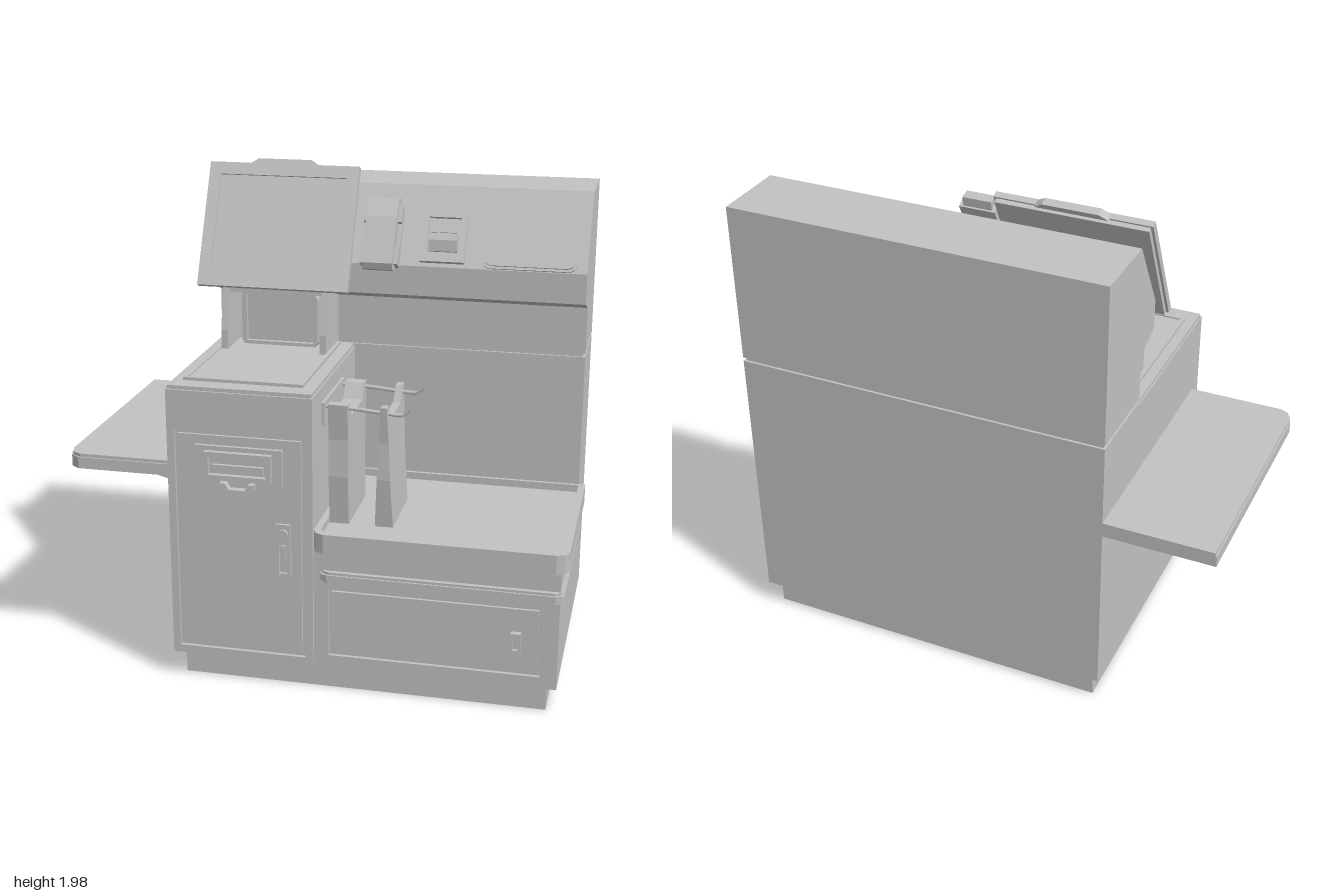
import * as THREE from 'three';

const grey = new THREE.MeshStandardMaterial({ color: 0xc2c2c2 });
grey.name = 'light grey';

export function createModel() {
  const root = new THREE.Group();
  root.name = 'selfServiceCheckout';

  const add = (name, geo, parent = root) => {
    const m = new THREE.Mesh(geo, grey);
    m.name = name;
    parent.add(m);
    return m;
  };
  const box = (name, x0, x1, y0, y1, z0, z1, parent) => {
    const g = new THREE.BoxGeometry(x1 - x0, y1 - y0, z1 - z0);
    g.translate((x0 + x1) / 2, (y0 + y1) / 2, (z0 + z1) / 2);
    return add(name, g, parent);
  };
  const poly = (pts) => new THREE.Shape(pts.map(([a, b]) => new THREE.Vector2(a, b)));
  const rect = (x0, x1, y0, y1, c = 0) => c === 0
    ? poly([[x0, y0], [x1, y0], [x1, y1], [x0, y1]])
    : poly([[x0 + c, y0], [x1 - c, y0], [x1 - c * 0.3, y0 + c * 0.3], [x1, y0 + c], [x1, y1 - c],
      [x1 - c * 0.3, y1 - c * 0.3], [x1 - c, y1], [x0 + c, y1], [x0 + c * 0.3, y1 - c * 0.3],
      [x0, y1 - c], [x0, y0 + c], [x0 + c * 0.3, y0 + c * 0.3]]);
  const ring = (outer, ...holes) => { outer.holes.push(...holes); return outer; };
  const extrude = (shape, depth) => new THREE.ExtrudeGeometry(shape, { depth, bevelEnabled: false, curveSegments: 12 });
  // shape seen from the front, running z0..z1
  const plate = (name, shape, z0, z1, parent) => add(name, extrude(shape, z1 - z0).translate(0, 0, z0), parent);
  // (z, y) outline running x0..x1
  const profile = (name, pts, x0, x1, parent) =>
    add(name, extrude(poly(pts), x1 - x0).rotateY(-Math.PI / 2).translate(x1, 0, 0), parent);
  // (x, -z) plan running y0..y1
  const slab = (name, shape, y0, y1) => add(name, extrude(shape, y1 - y0).rotateX(-Math.PI / 2).translate(0, y0, 0));
  const tilted = (name, x, y, z, tilt) => {
    const g = new THREE.Group();
    g.name = name;
    g.position.set(x, y, z);
    g.rotation.x = -tilt;
    root.add(g);
    return g;
  };

  // Main cabinets
  box('plinth', -0.52, 0.93, 0, 0.11, -0.53, 0.47);
  box('rearCabinet', -0.555, 0.97, 0.11, 1.225, -0.57, -0.22);
  box('leftCabinet', -0.555, 0.02, 0.11, 1.21, -0.22, 0.508);
  box('leftCabinetTop', -0.55, 0.015, 1.21, 1.225, -0.22, 0.515);
  box('rightCabinet', 0.02, 0.97, 0.11, 0.61, -0.22, 0.495);
  box('hoodGap', -0.545, 0.96, 1.22, 1.245, -0.56, -0.23);

  // Fronts with a shadow gap around door and drawer
  plate('leftFront', ring(rect(-0.555, 0.02, 0.11, 1.21), rect(-0.525, -0.012, 0.142, 1.05)), 0.508, 0.523);
  plate('door', rect(-0.512, -0.025, 0.155, 1.037), 0.508, 0.52);
  plate('rightFront', ring(rect(0.02, 0.97, 0.11, 0.61), rect(0.078, 0.905, 0.157, 0.443)), 0.495, 0.51);
  plate('drawer', rect(0.09, 0.893, 0.17, 0.43), 0.495, 0.507);
  plate('drawerPull', ring(rect(0.79, 0.83, 0.262, 0.337), rect(0.798, 0.822, 0.27, 0.329)), 0.507, 0.532);
  plate('drawerPullBack', rect(0.795, 0.825, 0.265, 0.334), 0.507, 0.52);

  // Hood
  profile('hood', [[-0.57, 1.24], [-0.22, 1.24], [-0.22, 1.43], [-0.088, 1.475], [-0.088, 1.595],
    [-0.262, 1.89], [-0.57, 1.89]], -0.555, 0.97);

  // Scanner plate on the left cabinet
  slab('scannerFrame', ring(rect(-0.51, -0.035, -0.44, 0.2), rect(-0.493, -0.052, -0.423, 0.19)), 1.225, 1.237);
  slab('scannerGlass', rect(-0.495, -0.05, -0.425, 0.195), 1.225, 1.231);

  // Display stand
  for (const x of [-0.49, -0.078]) {
    profile('standSide', [[-0.22, 1.225], [0, 1.225], [0, 1.31], [-0.04, 1.49], [-0.1, 1.49], [-0.22, 1.44]], x, x + 0.028);
  }
  plate('standPanel', rect(-0.43, -0.11, 1.225, 1.455, 0.025), -0.22, -0.12);
  plate('standPanelFrame', ring(rect(-0.43, -0.11, 1.225, 1.455, 0.025), rect(-0.41, -0.13, 1.245, 1.44)), -0.12, -0.1);
  box('standTop', -0.47, -0.07, 1.46, 1.485, -0.2, -0.05);
  box('displayNeck', -0.4, -0.13, 1.48, 1.66, -0.2, -0.07);

  // Tilted display
  const display = tilted('display', -0.265, 1.735, -0.073, 0.459);
  plate('displayBezel', ring(rect(-0.31, 0.31, -0.257, 0.257), rect(-0.262, 0.262, -0.18, 0.207)), -0.012, 0, display);
  plate('screen', rect(-0.31, 0.31, -0.257, 0.257), -0.026, -0.01, display);
  plate('displayBack', rect(-0.3, 0.3, -0.25, 0.25), -0.045, -0.026, display);
  plate('displayTab', poly([[-0.145, 0.255], [0.145, 0.255], [0.11, 0.278], [-0.11, 0.278]]), -0.036, -0.004, display);

  // Payment terminal on its arm
  const terminal = tilted('paymentTerminal', 0.175, 1.74, 0.005, 0.5);
  profile('terminalBody', [[-0.035, -0.14], [0.015, -0.15], [0.035, -0.13], [0.035, 0.06], [0.02, 0.14],
    [-0.02, 0.15], [-0.035, 0.11]], -0.06, 0.06, terminal);
  box('terminalCradle', -0.075, 0.075, -0.125, 0.115, -0.04, -0.015, terminal);
  for (const x of [-0.075, 0.06]) for (const y of [-0.125, 0.045]) {
    box('cradleClip', x, x + 0.015, y, y + 0.07, -0.015, 0.012, terminal);
  }
  box('terminalArm', -0.025, 0.025, -0.03, 0.02, -0.15, -0.04, terminal);
  box('terminalMount', -0.05, 0.05, -0.1, 0.07, -0.14, -0.12, terminal);

  // Receipt printer and cover panel on the sloped hood face
  const slope = tilted('hoodFace', 0, 1.7425, -0.175, 0.5329);
  plate('printerFrame', ring(rect(0.31, 0.487, -0.155, 0.05), rect(0.335, 0.462, -0.115, 0.03)), -0.005, 0.022, slope);
  plate('printerBack', rect(0.33, 0.467, -0.12, 0.035), -0.005, 0.006, slope);
  profile('printerMouth', [[0, -0.11], [0.016, -0.11], [0.036, -0.07], [0.036, -0.04], [0, -0.04]], 0.342, 0.455, slope);
  box('printerSlot', 0.347, 0.45, -0.035, -0.02, 0, 0.026, slope);
  plate('coverPanelEdge', rect(0.557, 0.93, -0.168, 0.14, 0.03), -0.005, 0.008, slope);
  plate('coverPanel', rect(0.565, 0.922, -0.158, 0.132, 0.028), 0.008, 0.016, slope);

  // Bagging tray, with a raised rim and cut front corners
  const tray = (x0, x1, zb, zf, c) => poly([[x0, -zb], [x0, -zf + c], [x0 + c * 0.3, -zf + c * 0.3], [x0 + c, -zf],
    [x1 - c, -zf], [x1 - c * 0.3, -zf + c * 0.3], [x1, -zf + c], [x1, -zb]]);
  slab('trayFloor', tray(0.025, 0.99, -0.22, 0.54, 0.04), 0.6, 0.65);
  slab('trayRim', ring(tray(0.02, 0.997, -0.22, 0.547, 0.045), tray(0.045, 0.97, -0.205, 0.522, 0.035)), 0.602, 0.68);
  slab('bumper', tray(0.045, 0.985, -0.21, 0.535, 0.03), 0.482, 0.508);
  slab('bumperCore', tray(0.052, 0.978, -0.205, 0.528, 0.03), 0.472, 0.518);

  // Side shelf and its bracket
  const shelf = (i) => poly([[-1 + i, 0.57], [-1 + i, -0.39], [-0.985 + i, -0.435], [-0.95 + i, -0.46 + i],
    [-0.555, -0.46 + i], [-0.555, 0.57]]);
  slab('shelf', shelf(0), 0.835, 0.882);
  slab('shelfTop', shelf(0.006), 0.882, 0.895);
  plate('shelfBracket', poly([[-0.83, 0.836], [-0.83, 0.785], [-0.55, 0.715], [-0.55, 0.836]]), -0.25, 0.25);

  // Cash dispenser on the door
  const cash = poly([[-0.445, 1.0], [-0.445, 0.85], [-0.425, 0.805], [-0.39, 0.788], [-0.27, 0.778],
    [-0.15, 0.788], [-0.115, 0.805], [-0.095, 0.85], [-0.095, 1.0]]);
  plate('cashPlate', cash, 0.515, 0.535);
  plate('cashFrame', ring(rect(-0.4, -0.135, 0.872, 0.982), rect(-0.382, -0.155, 0.89, 0.962)), 0.535, 0.556);
  box('cashSlot', -0.37, -0.165, 0.9, 0.93, 0.53, 0.55);
  plate('coinCup', poly([[-0.335, 0.862], [-0.335, 0.84], [-0.31, 0.812], [-0.27, 0.803], [-0.225, 0.812],
    [-0.2, 0.84], [-0.2, 0.862], [-0.222, 0.862], [-0.235, 0.838], [-0.3, 0.838], [-0.313, 0.862]]), 0.535, 0.565);

  // Door lock
  plate('lockPlate', ring(rect(-0.125, -0.066, 0.482, 0.7), rect(-0.112, -0.08, 0.497, 0.615)), 0.515, 0.532);
  add('lockBarrel', new THREE.CylinderGeometry(0.02, 0.02, 0.012, 20).rotateX(Math.PI / 2).translate(-0.095, 0.662, 0.536));
  box('lockHandle', -0.105, -0.087, 0.535, 0.61, 0.515, 0.53);

  // Bag rack: two rods with turned-up ends
  box('rackPlate', 0.018, 0.032, 1.06, 1.15, 0.02, 0.375);
  for (const z of [0.05, 0.345]) {
    const path = new THREE.CatmullRomCurve3([[0.02, 1.13], [0.15, 1.125], [0.28, 1.115], [0.335, 1.115], [0.355, 1.138]]
      .map(([x, y]) => new THREE.Vector3(x, y, z)));
    add('rackRod', new THREE.TubeGeometry(path, 16, 0.008, 8));
  }

  // Hanging bags; the outer one narrows toward its handles
  const bagOutline = [[0.375, 1.145], [0.335, 1.145], [0.3, 1.085], [0.1, 1.085], [0.065, 1.145], [0.02, 1.145],
    [0.035, 1.0], [0.045, 0.85], [0.03, 0.65], [0.345, 0.65], [0.365, 0.85], [0.36, 1.0]];
  profile('innerBag', bagOutline, 0.045, 0.122);
  const outerBag = profile('outerBag', bagOutline, -0.5, 0.5);
  const p = outerBag.geometry.attributes.position;
  for (let i = 0; i < p.count; i++) {
    const t = (p.getY(i) - 0.65) / 0.5;
    p.setX(i, 0.262 + p.getX(i) * (0.072 - 0.048 * t));
  }
  outerBag.geometry.computeVertexNormals();

  return root;
}
